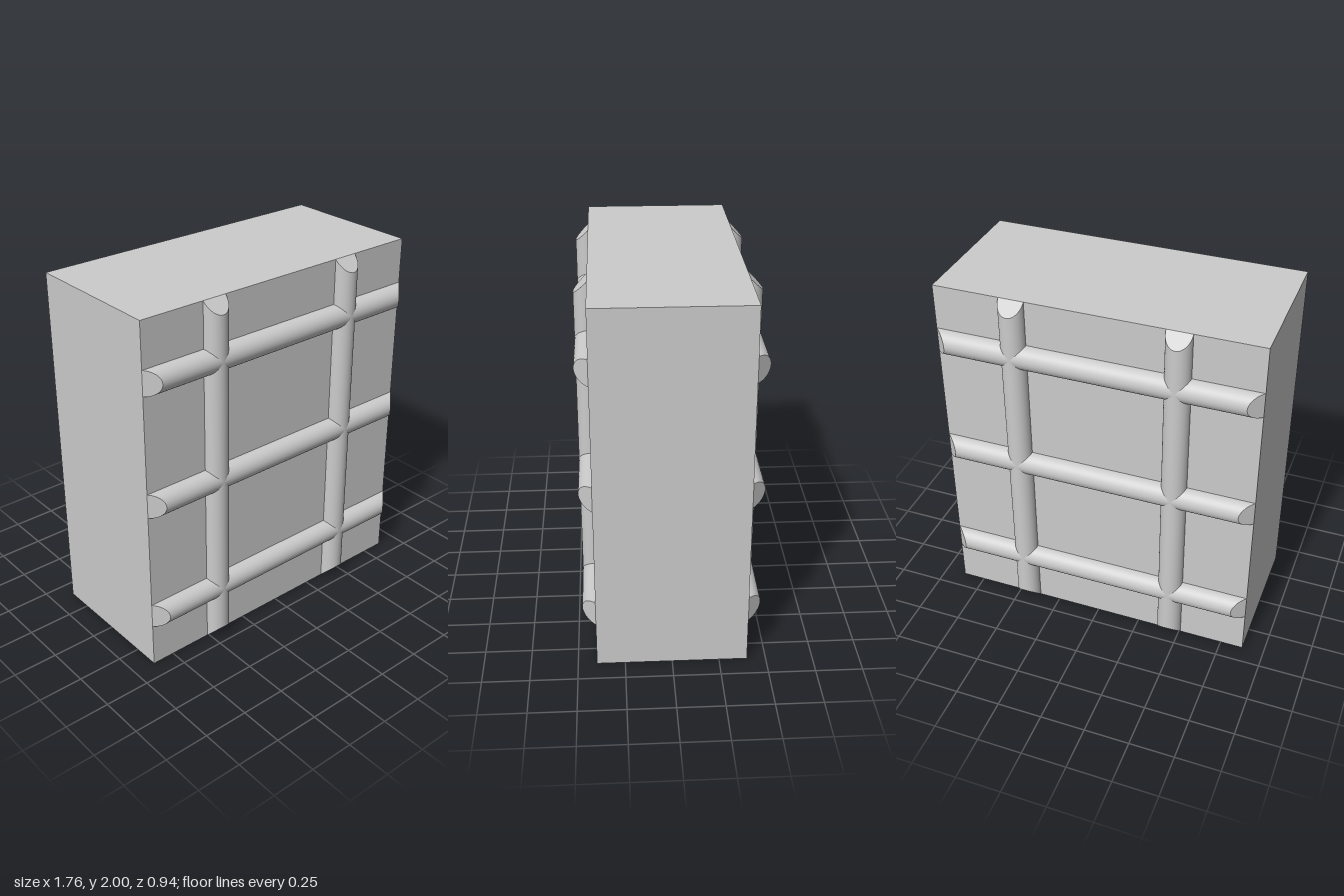
import * as THREE from 'three';

const W = 1.756, H = 2, D = 0.8; // block size
const R = 0.069;                 // rib radius

// Half-round rib along y, bulging to +z, with ends mitred at 45 degrees
function ribGeometry(length) {
  const g = new THREE.CylinderGeometry(R, R, length, 32, 1, false, -Math.PI / 2, Math.PI);
  const p = g.attributes.position;
  for (let i = 0; i < p.count; i++) {
    p.setY(i, p.getY(i) - Math.sign(p.getY(i)) * p.getZ(i));
  }
  g.computeVertexNormals();
  return g;
}

export function createModel() {
  const model = new THREE.Group();
  model.name = 'ribbedBlock';
  const grey = new THREE.MeshStandardMaterial({ color: 0xcccccc });

  // Solid block
  const block = new THREE.Mesh(new THREE.BoxGeometry(W, H, D), grey);
  block.name = 'block';
  block.position.y = H / 2;
  model.add(block);

  const upright = ribGeometry(H);
  const crosswise = ribGeometry(W).rotateZ(Math.PI / 2);

  // The same lattice of ribs on the front and back faces
  for (const side of ['front', 'back']) {
    const lattice = new THREE.Group();
    lattice.name = side + 'Lattice';
    for (const x of [-0.44, 0.44]) {
      const rib = new THREE.Mesh(upright, grey);
      rib.name = 'verticalRib';
      rib.position.set(x, H / 2, D / 2);
      lattice.add(rib);
    }
    for (const y of [0.32, 1, 1.68]) {
      const rib = new THREE.Mesh(crosswise, grey);
      rib.name = 'horizontalRib';
      rib.position.set(0, y, D / 2);
      lattice.add(rib);
    }
    if (side === 'back') lattice.rotation.y = Math.PI;
    model.add(lattice);
  }
  return model;
}
